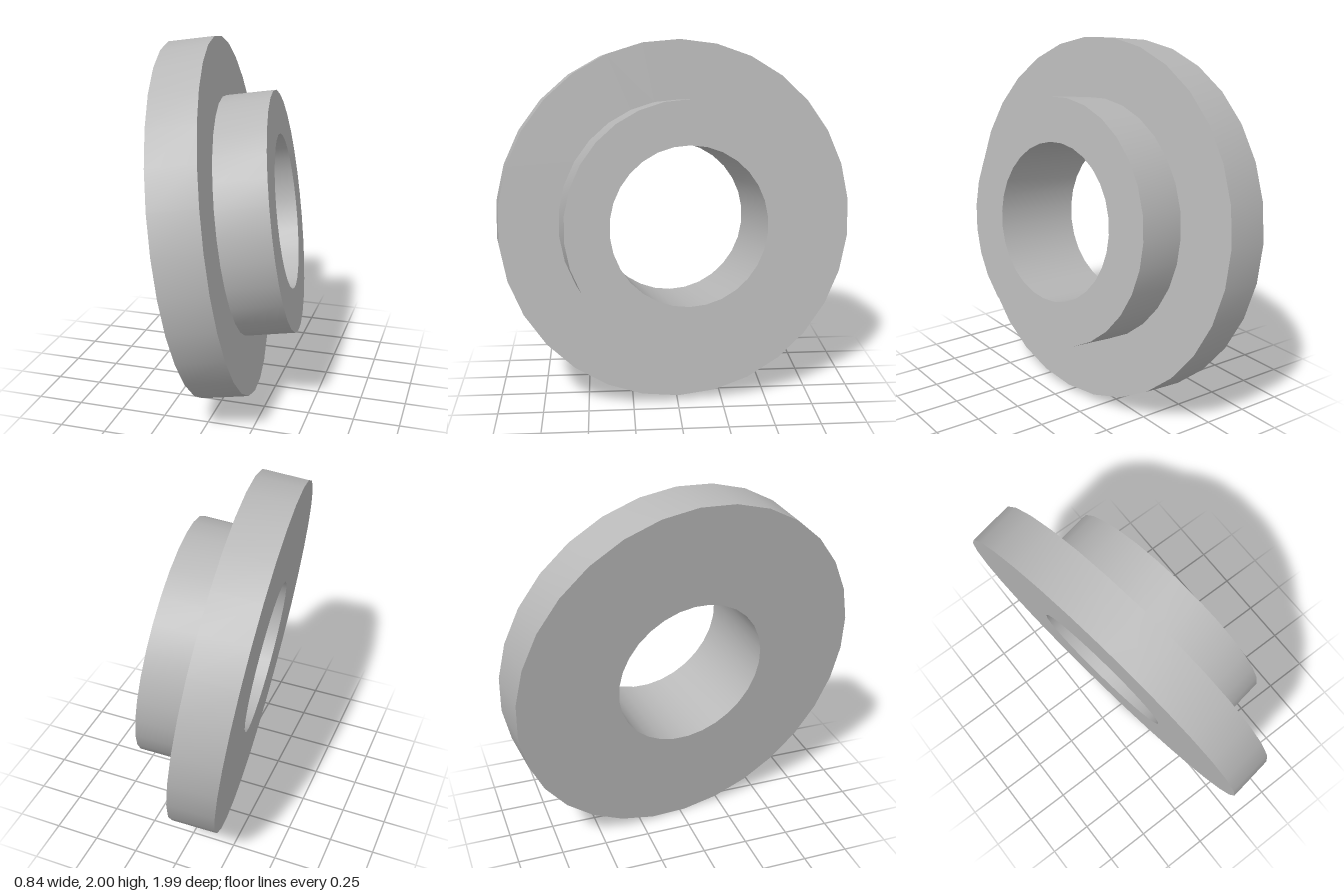
import * as THREE from 'three';
import { toCreasedNormals } from 'three/addons/utils/BufferGeometryUtils.js';

const SIDES = 30;
const BORE_R = 0.429, HUB_R = 0.668, FLANGE_R = 0.993;
const FLANGE_T = 0.254, HUB_T = 0.275;

export function createModel() {
  const grey = new THREE.MeshStandardMaterial({ color: 0xb8b8b8 });
  grey.name = 'plain grey';

  const group = new THREE.Group();
  group.name = 'flangedBushing';

  // Revolve a [radius, height] profile, smooth round the axis with sharp rims
  const turned = (name, profile) => {
    const points = profile.map(([r, h]) => new THREE.Vector2(r, h));
    const geometry = toCreasedNormals(new THREE.LatheGeometry(points, SIDES), 0.6);
    const mesh = new THREE.Mesh(geometry, grey);
    mesh.name = name;
    group.add(mesh);
  };

  const top = FLANGE_T + HUB_T;

  // Wide flange: back face, rim and the step up to the hub
  turned('flange', [[BORE_R, 0], [FLANGE_R, 0], [FLANGE_R, FLANGE_T], [HUB_R, FLANGE_T]]);
  // Narrower hub: outer wall and end face
  turned('hub', [[HUB_R, FLANGE_T], [HUB_R, top], [BORE_R, top]]);
  // Through hole, facing inwards
  turned('bore', [[BORE_R, top], [BORE_R, 0]]);

  // Tilt the shared axis towards +x, slightly up and back
  const axis = new THREE.Vector3(0.9816, 0.135, -0.135).normalize();
  group.quaternion.setFromUnitVectors(new THREE.Vector3(0, 1, 0), axis);
  group.position.set(-0.23, 0.984, 0.016);

  const model = new THREE.Group();
  model.name = 'model';
  model.add(group);
  return model;
}
